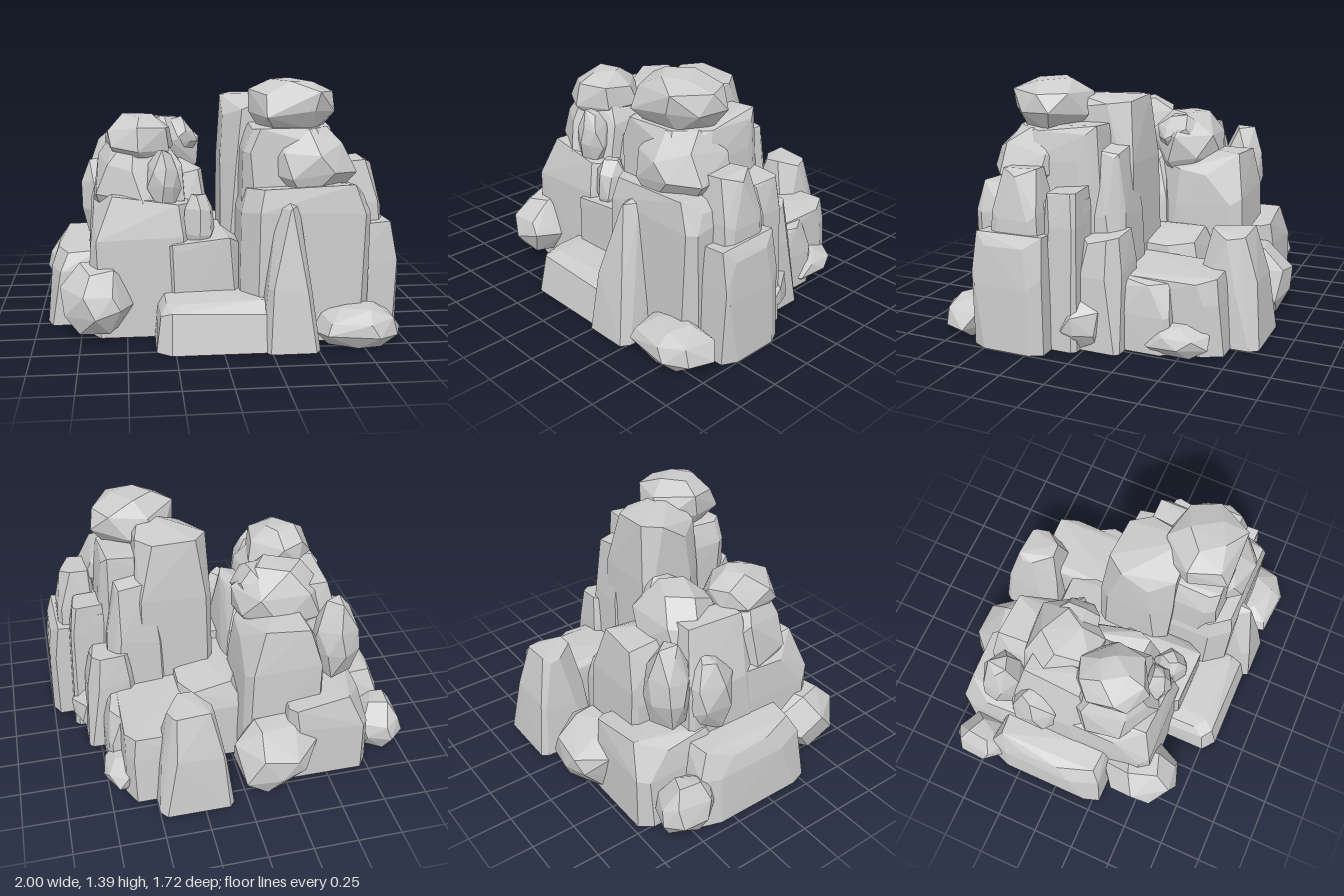
import * as THREE from 'three';
import { ConvexGeometry } from 'three/addons/geometries/ConvexGeometry.js';

const GROUND = 0.01;
const material = new THREE.MeshStandardMaterial({ color: 0xcccccc, flatShading: true, side: THREE.DoubleSide });

// Small seeded generator, -1..1
function seeded(seed) {
  let s = seed * 7919 + 17;
  return () => {
    s = (s * 16807) % 2147483647;
    return (s / 2147483647) * 2 - 1;
  };
}

// Convex hull without the faces lying on the ground
function openHull(points) {
  const geometry = new ConvexGeometry(points);
  const { position, normal } = geometry.attributes;
  const index = [];
  for (let i = 0; i < position.count; i += 3) {
    const top = Math.max(position.getY(i), position.getY(i + 1), position.getY(i + 2));
    if (top > GROUND + 0.002 || normal.getY(i) > 0) index.push(i, i + 1, i + 2);
  }
  geometry.setIndex(index);
  return geometry;
}

export function createModel() {
  const group = new THREE.Group();
  group.name = 'rockFormation';
  let count = 0;

  // Convex stone from points, fitted to its x, y and z ranges
  function stone(name, points, x, y, z) {
    const box = new THREE.Box3().setFromPoints(points);
    const size = box.getSize(new THREE.Vector3());
    for (const p of points) {
      p.sub(box.min).divide(size);
      p.set(x[0] + p.x * (x[1] - x[0]), y[0] + p.y * (y[1] - y[0]), z[0] + p.z * (z[1] - z[0]));
    }
    const mesh = new THREE.Mesh(openHull(points), material);
    mesh.name = name;
    group.add(mesh);
  }

  // Hewn block: chamfered rings narrowing above a shoulder; lean shifts the top
  function block(name, x, y, z, { inset = 0.2, shoulder = 0.7, leanX = 0, leanZ = 0 } = {}) {
    const rnd = seeded(++count + 40);
    const points = [];
    const levels = [[0, 0, 0], [shoulder, inset * 0.35, 0.45], [1, inset, 1]];
    for (const [h, shrink, lean] of levels) {
      const r = 1 - shrink;
      for (const [sx, sz] of [[1, 1], [-1, 1], [-1, -1], [1, -1]]) {
        const cut = (0.16 + 0.12 * rnd()) * (1 + 0.6 * h);
        const dy = h ? 0.09 * rnd() : 0;
        const px = sx * r + leanX * lean + 0.06 * rnd() * h;
        const pz = sz * r + leanZ * lean + 0.06 * rnd() * h;
        points.push(new THREE.Vector3(px - sx * cut, h + dy * 0.6, pz));
        points.push(new THREE.Vector3(px, h - Math.abs(dy), pz - sz * cut * 1.4));
      }
    }
    stone(name, points, x, y, z);
  }

  // Faceted boulder: jittered rings of a rounded lump
  function boulder(name, x, y, z) {
    const rnd = seeded(++count + 90);
    const points = [];
    for (const [h, r, n] of [[0, 0.65, 5], [0.33, 0.98, 7], [0.68, 0.88, 6], [0.95, 0.45, 4]]) {
      const turn = rnd() * 3;
      for (let i = 0; i < n; i++) {
        const a = turn + ((i + 0.25 * rnd()) / n) * Math.PI * 2;
        const k = r * (1 + 0.1 * rnd());
        points.push(new THREE.Vector3(Math.cos(a) * k, h + (h ? 0.07 * rnd() : 0), Math.sin(a) * k));
      }
    }
    stone(name, points, x, y, z);
  }

  // Tall tower
  block('tallTowerBase', [0.11, 0.81], [GROUND, 0.86], [0.0, 0.67], { inset: 0.08, shoulder: 0.85, leanZ: -0.04 });
  block('tallTowerFrontPillar', [0.2, 0.51], [GROUND, 0.79], [0.45, 0.85], { inset: 0.6, shoulder: 0.45, leanZ: -0.1 });
  block('tallTowerUpper', [0.13, 0.69], [0.6, 1.18], [-0.03, 0.56], { inset: 0.15, shoulder: 0.75 });
  boulder('tallTowerLedge', [0.22, 0.75], [0.76, 1.15], [0.14, 0.64]);
  block('tallTowerBackSpire', [0.04, 0.5], [GROUND, 1.32], [-0.15, 0.3], { inset: 0.14, shoulder: 0.72, leanX: -0.12, leanZ: 0.1 });
  block('tallTowerSpireFlank', [0.3, 0.68], [0.1, 1.1], [-0.17, 0.15], { inset: 0.4, shoulder: 0.65, leanX: -0.1 });
  boulder('tallTowerCap', [0.18, 0.67], [1.13, 1.4], [0.13, 0.55]);

  // Side stones beside the tall tower
  block('sideBlock', [0.7, 1.0], [GROUND, 0.64], [0.16, 0.58], { inset: 0.1, shoulder: 0.65, leanX: -0.1 });
  block('sidePeak', [0.66, 0.93], [0.2, 0.97], [0.2, 0.52], { inset: 0.4, shoulder: 0.7, leanX: -0.1 });
  block('sideColumn', [0.6, 0.88], [GROUND, 0.87], [0.02, 0.23], { inset: 0.2, shoulder: 0.8, leanX: -0.2 });
  block('sideRearColumn', [0.5, 0.82], [GROUND, 0.64], [-0.2, 0.07], { inset: 0.25, shoulder: 0.7, leanX: -0.15 });
  boulder('sideBoulder', [0.62, 0.89], [0.02, 0.31], [-0.1, 0.16]);
  boulder('footStone', [0.5, 0.98], [GROUND, 0.22], [0.54, 0.86]);

  // Rear stones behind the tall tower
  block('rearBlock', [0.24, 0.66], [GROUND, 0.43], [-0.71, -0.1], { inset: 0.1, shoulder: 0.7, leanZ: 0.08 });
  block('rearSideBlock', [0.4, 0.73], [GROUND, 0.4], [-0.45, -0.05], { inset: 0.2, shoulder: 0.6 });
  block('rearTallBoulder', [0.08, 0.5], [GROUND, 0.62], [-0.86, -0.48], { inset: 0.45, shoulder: 0.55, leanZ: 0.1 });
  boulder('rearLowBoulder', [0.55, 0.77], [GROUND, 0.18], [-0.65, -0.24]);

  // Saddle and steps between the towers
  block('saddle', [-0.1, 0.3], [GROUND, 0.52], [-0.44, 0.2], { inset: 0.1 });
  block('upperStep', [-0.28, 0.15], [GROUND, 0.56], [0.05, 0.54], { inset: 0.08, shoulder: 0.85 });
  block('lowerStep', [-0.35, 0.3], [GROUND, 0.27], [0.4, 0.82], { inset: 0.18, shoulder: 0.8, leanZ: -0.45 });

  // Short tower
  block('shortTowerBase', [-0.72, -0.1], [GROUND, 0.78], [-0.1, 0.52], { inset: 0.14, shoulder: 0.7, leanZ: -0.08 });
  boulder('shortTowerUpper', [-0.68, -0.15], [0.55, 1.12], [-0.1, 0.45]);
  boulder('shortTowerCap', [-0.6, -0.22], [0.93, 1.2], [-0.03, 0.39]);
  boulder('shortTowerCrown', [-0.58, -0.05], [0.75, 1.15], [-0.4, 0.04]);
  boulder('shortTowerOverhang', [-0.3, -0.06], [0.93, 1.14], [-0.3, -0.02]);
  boulder('frontCrag', [-0.38, -0.19], [0.7, 1.03], [0.3, 0.47]);
  boulder('frontCragSmall', [-0.19, -0.01], [0.48, 0.78], [0.28, 0.5]);
  block('innerColumn', [-0.24, 0.0], [0.2, 0.92], [-0.15, 0.34], { inset: 0.35, shoulder: 0.6, leanX: -0.25 });
  block('shortTowerRear', [-0.5, -0.03], [GROUND, 0.93], [-0.61, -0.05], { inset: 0.16, shoulder: 0.75, leanZ: 0.08 });
  block('shortTowerFlank', [-0.74, -0.35], [GROUND, 1.05], [-0.4, 0.15], { inset: 0.4, shoulder: 0.7, leanX: 0.25 });
  boulder('flankBoulder', [-0.73, -0.45], [0.55, 1.02], [-0.56, -0.32]);
  boulder('flankBulge', [-0.76, -0.5], [0.45, 0.9], [-0.36, -0.04]);

  // Low stones around the short tower
  block('rearShelf', [-0.76, -0.25], [GROUND, 0.52], [-0.72, -0.2], { inset: 0.14, shoulder: 0.7 });
  boulder('rearBoulder', [-0.44, 0.04], [GROUND, 0.4], [-0.86, -0.45]);
  block('outerBlock', [-0.95, -0.6], [GROUND, 0.45], [-0.45, 0.29], { inset: 0.15, shoulder: 0.75, leanX: 0.12 });
  boulder('cornerBoulder', [-1.0, -0.73], [0.05, 0.35], [-0.69, -0.35]);
  boulder('outerBoulder', [-0.86, -0.45], [0.07, 0.41], [0.22, 0.7]);

  return group;
}
